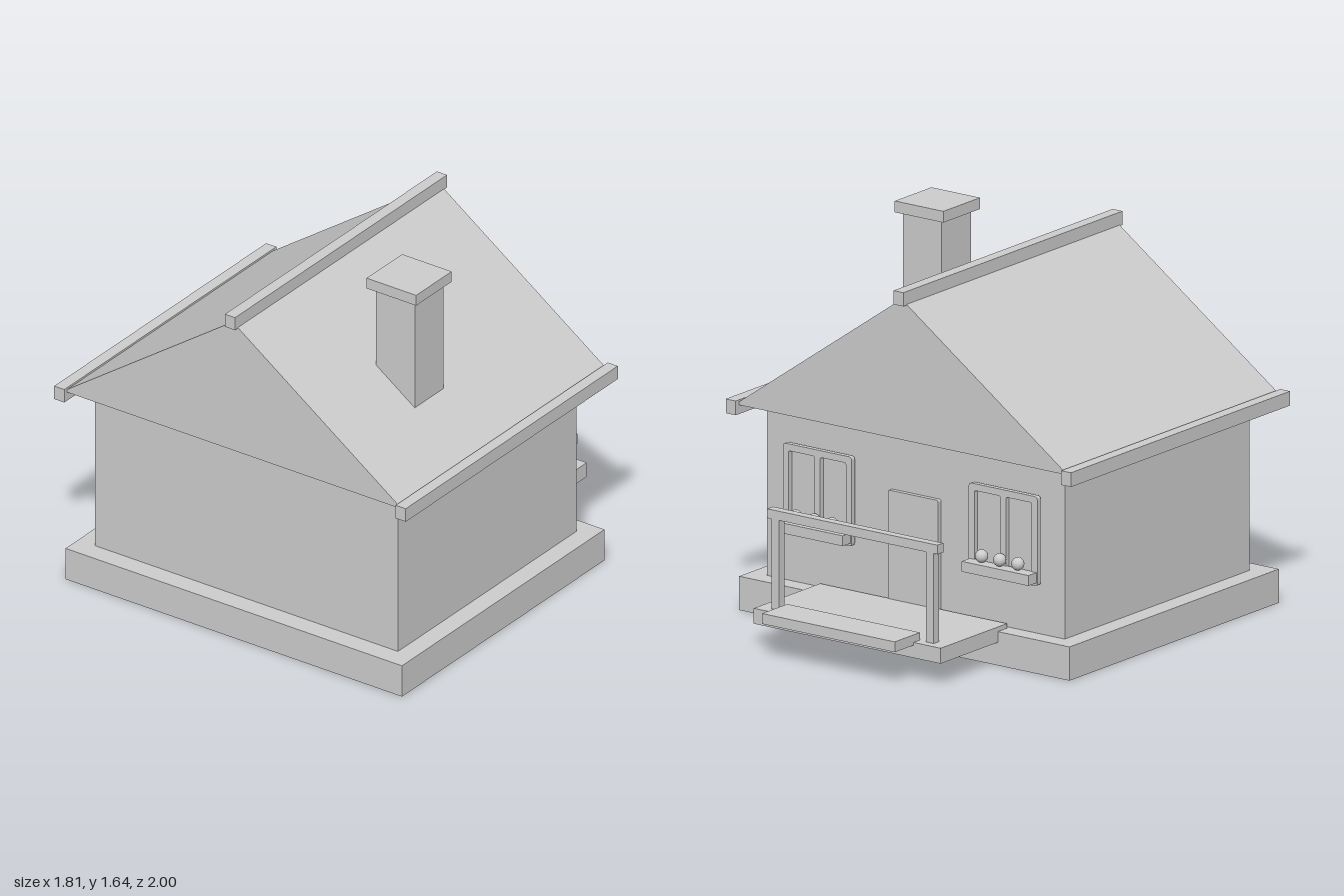
import * as THREE from 'three';

const plaster = new THREE.MeshStandardMaterial({ color: 0xcccccc });
plaster.name = 'plain grey';

// Box given by its limits on each axis
function box(name, [x0, x1], [y0, y1], [z0, z1]) {
  const mesh = new THREE.Mesh(new THREE.BoxGeometry(x1 - x0, y1 - y0, z1 - z0), plaster);
  mesh.position.set((x0 + x1) / 2, (y0 + y1) / 2, (z0 + z1) / 2);
  mesh.name = name;
  return mesh;
}

// Rectangle with rounded corners, as a Shape or a Path
function roundedRect(Type, x0, x1, y0, y1, r) {
  const p = new Type();
  p.moveTo(x0 + r, y0);
  p.lineTo(x1 - r, y0).quadraticCurveTo(x1, y0, x1, y0 + r);
  p.lineTo(x1, y1 - r).quadraticCurveTo(x1, y1, x1 - r, y1);
  p.lineTo(x0 + r, y1).quadraticCurveTo(x0, y1, x0, y1 - r);
  p.lineTo(x0, y0 + r).quadraticCurveTo(x0, y0, x0 + r, y0);
  return p;
}

// Extrudes a shape from z0 to z1
function extrude(name, shape, z0, z1) {
  const geometry = new THREE.ExtrudeGeometry(shape, {
    depth: z1 - z0, bevelEnabled: false, curveSegments: 3,
  });
  const mesh = new THREE.Mesh(geometry, plaster);
  mesh.position.z = z0;
  mesh.name = name;
  return mesh;
}

// Window with two openings and a box of three round plants
function createWindow(name) {
  const win = new THREE.Group();
  win.name = name;
  const frame = roundedRect(THREE.Shape, -0.18, 0.18, 0.365, 0.755, 0.015);
  frame.holes.push(
    roundedRect(THREE.Path, -0.15, -0.015, 0.395, 0.725, 0.008),
    roundedRect(THREE.Path, 0.015, 0.15, 0.395, 0.725, 0.008),
  );
  win.add(
    extrude('windowFrame', frame, -0.435, -0.412),
    box('windowPane', [-0.155, 0.155], [0.39, 0.727], [-0.412, -0.385]),
    box('flowerBox', [-0.175, 0.175], [0.38, 0.425], [-0.49, -0.43]),
  );
  for (const x of [-0.095, 0, 0.095]) {
    const plant = new THREE.Mesh(new THREE.SphereGeometry(0.028, 16, 12), plaster);
    plant.position.set(x, 0.455, -0.458);
    plant.name = 'roundPlant';
    win.add(plant);
  }
  return win;
}

export function createModel() {
  const house = new THREE.Group();
  house.name = 'house';

  // Base and walls
  house.add(
    box('foundation', [-0.866, 0.866], [0, 0.147], [-0.475, 0.973]),
    box('walls', [-0.78, 0.78], [0.147, 0.9], [-0.394, 0.882]),
  );

  // Solid gabled roof with ridge and eave beams
  const gable = new THREE.Shape([
    new THREE.Vector2(-0.872, 0.9),
    new THREE.Vector2(0.872, 0.9),
    new THREE.Vector2(0, 1.512),
  ]);
  house.add(extrude('roof', gable, -0.494, 0.98));
  house.add(box('ridgeBeam', [-0.026, 0.026], [1.49, 1.55], [-0.516, 1]));
  for (const s of [-1, 1]) {
    const eave = box('eaveBeam', [-0.026, 0.026], [0.86, 0.922], [-0.516, 1]);
    eave.position.x = s * 0.879;
    house.add(eave);
  }

  // Chimney
  house.add(
    box('chimney', [0.403, 0.603], [1.0, 1.6], [0.312, 0.516]),
    box('chimneyCap', [0.373, 0.628], [1.596, 1.645], [0.287, 0.541]),
  );

  // Porch deck, step and railing
  house.add(
    box('porchDeck', [-0.49, 0.49], [0.1, 0.167], [-0.87, -0.41]),
    box('porchStep', [-0.348, 0.348], [0.155, 0.2], [-1, -0.825]),
    box('railing', [-0.447, 0.447], [0.56, 0.6], [-0.835, -0.795]),
  );
  for (const x of [-0.405, 0.405]) {
    house.add(box('railingPost', [x - 0.02, x + 0.02], [0.16, 0.56], [-0.832, -0.795]));
  }

  // Door and windows
  const door = roundedRect(THREE.Shape, -0.132, 0.132, 0.15, 0.64, 0.01);
  house.add(extrude('door', door, -0.415, -0.385));
  for (const [name, x] of [['leftWindow', 0.487], ['rightWindow', -0.487]]) {
    const win = createWindow(name);
    win.position.x = x;
    house.add(win);
  }
  return house;
}
